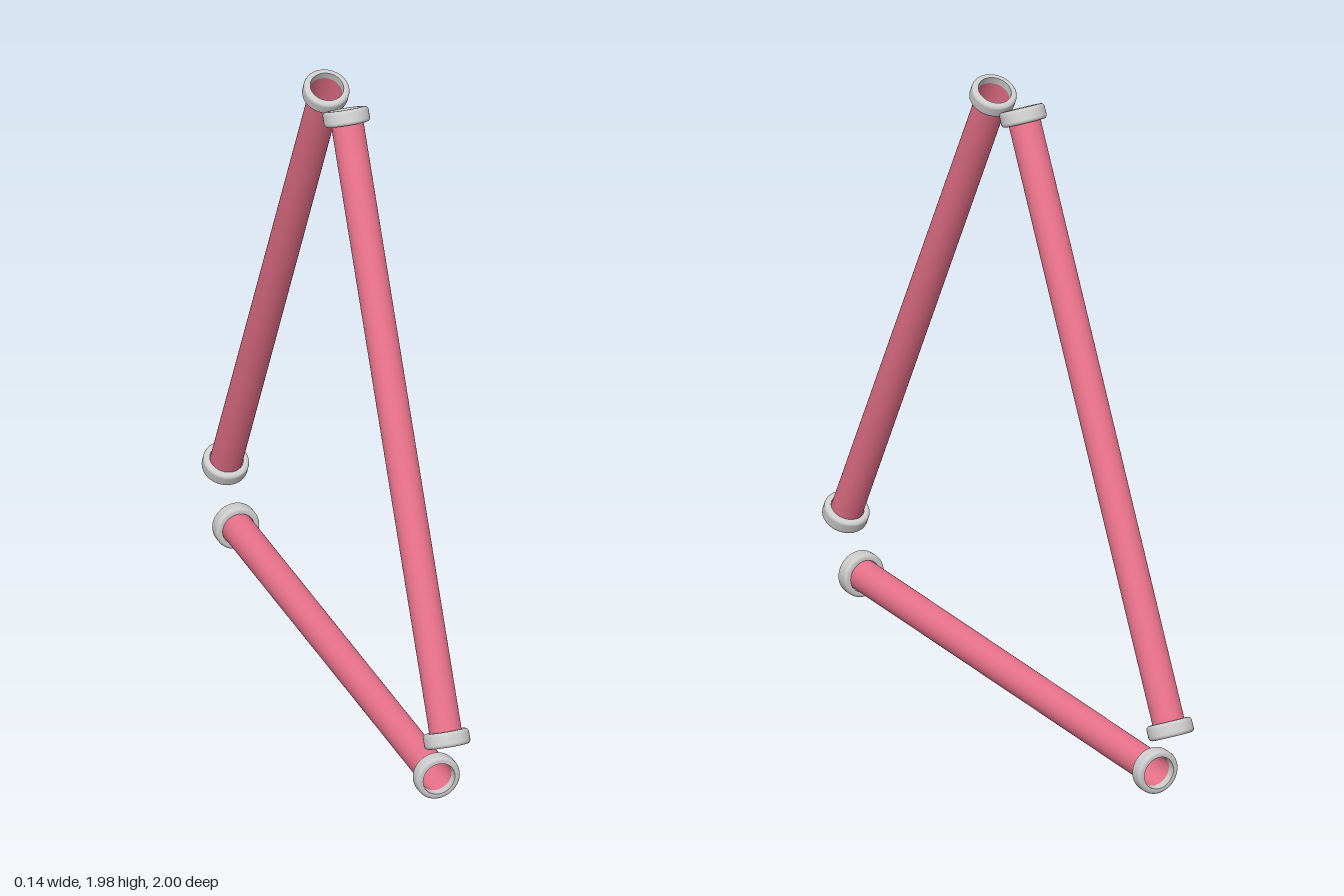
import * as THREE from 'three';

const TUBE_R = 0.049, RING_R = 0.07, RING_HALF = 0.0235;

// Collar: a band with rounded outer edges, lathed around the tube axis
function collarGeometry() {
  const inner = TUBE_R + 0.002, bevel = 0.011, pts = [new THREE.Vector2(inner, -RING_HALF)];
  for (const side of [-1, 1]) {
    for (let i = 0; i <= 4; i++) {
      const a = side * (side < 0 ? 1 - i / 4 : i / 4) * Math.PI / 2;
      pts.push(new THREE.Vector2(
        RING_R - bevel + bevel * Math.cos(a),
        side * (RING_HALF - bevel) + bevel * Math.sin(a)));
    }
  }
  pts.push(new THREE.Vector2(inner, RING_HALF));
  // Separate inner wall keeps the rim edges crisp
  const bore = [new THREE.Vector2(inner, RING_HALF), new THREE.Vector2(inner, -RING_HALF)];
  return [new THREE.LatheGeometry(pts, 40), new THREE.LatheGeometry(bore, 40)];
}

export function createModel() {
  const model = new THREE.Group();
  model.name = 'triangleOfTubes';
  const pink = new THREE.MeshStandardMaterial({ color: 0xe8718a, side: THREE.DoubleSide });
  const grey = new THREE.MeshStandardMaterial({ color: 0xcccccc, side: THREE.DoubleSide });
  const [rim, bore] = collarGeometry();

  // Open tube with a collar centred on each end
  function addTube(name, y, z, length, tilt) {
    const group = new THREE.Group();
    group.name = name;
    const tube = new THREE.Mesh(
      new THREE.CylinderGeometry(TUBE_R, TUBE_R, length, 40, 1, true), pink);
    tube.name = 'tube';
    group.add(tube);
    for (const s of [-1, 1]) {
      const collar = new THREE.Group();
      collar.name = s < 0 ? 'lowerCollar' : 'upperCollar';
      collar.add(new THREE.Mesh(rim, grey), new THREE.Mesh(bore, grey));
      collar.children[0].name = 'collarRim';
      collar.children[1].name = 'collarBore';
      collar.position.y = s * length / 2;
      group.add(collar);
    }
    group.position.set(0, y, z);
    group.rotation.x = tilt;
    model.add(group);
  }

  const lean = Math.atan2(0.844, 1.695);
  addTube('frontTube', 1.087, 0.508, 1.894, -lean);
  addTube('backTube', 1.087, -0.508, 1.894, lean);
  addTube('baseTube', RING_R, 0, 1.686, Math.PI / 2);
  return model;
}
